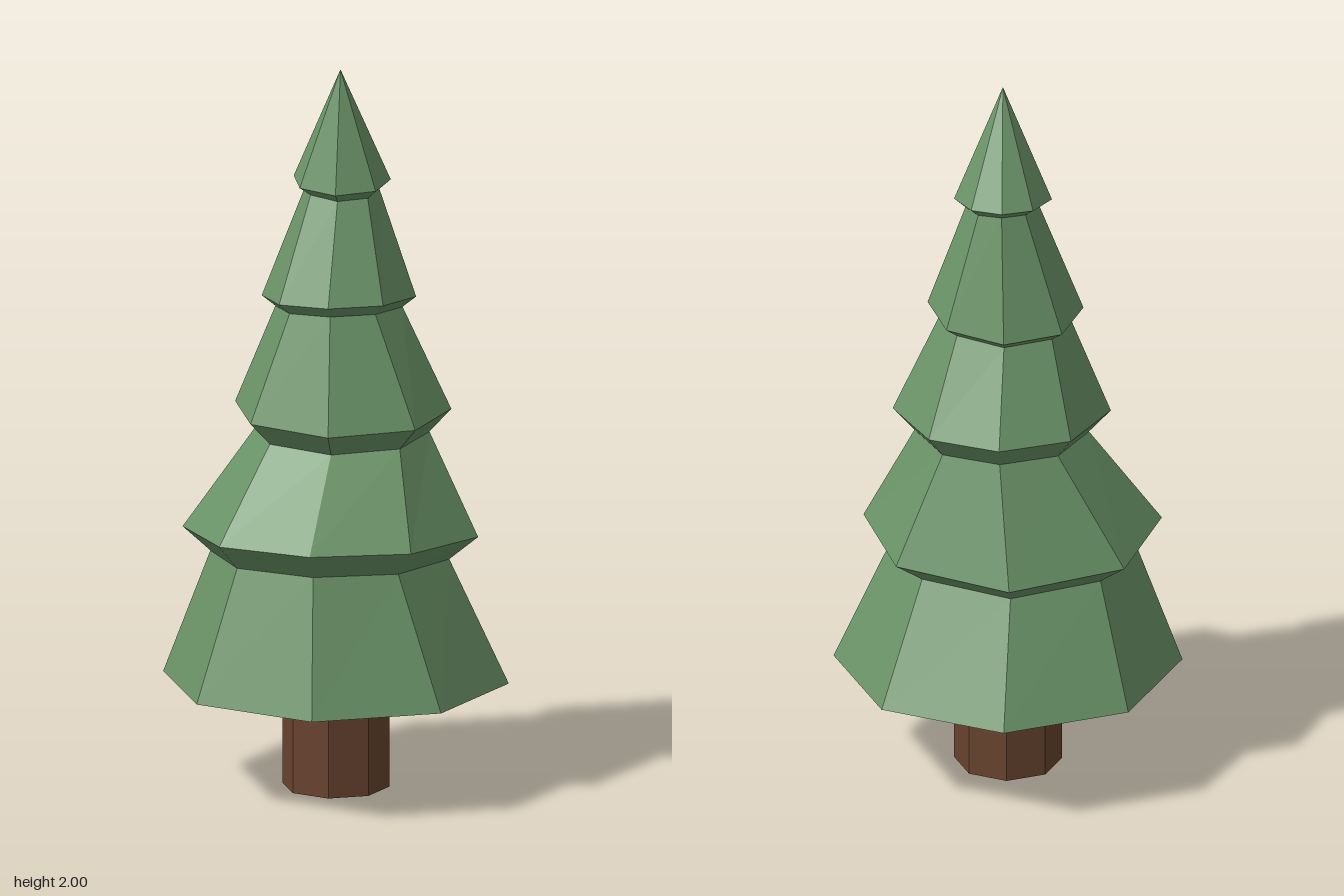
import * as THREE from 'three';

const SIDES = 8;

// Foliage rings from the bottom up: height, radius, centre x/z, slope along x/z,
// and a sideways shift of the four corners on the axes.
const RINGS = [
  { y: 0.3, r: 0.47 },
  { y: 0.645, r: 0.325, cz: 0.02, sx: 0.05, sz: 0.05, shift: 0.015 },
  { y: 0.71, r: 0.402, cz: 0.017, sx: 0.062, sz: 0.062, shift: 0.033 },
  { y: 0.988, r: 0.235, cz: -0.023, sx: -0.035, sz: -0.035, shift: -0.015 },
  { y: 1.053, r: 0.294, cz: -0.023, sx: -0.035, sz: -0.035, shift: -0.023 },
  { y: 1.333, r: 0.173, cx: -0.006, cz: -0.015, sx: 0.085, sz: 0.045, shift: 0.008 },
  { y: 1.362, r: 0.21, cx: -0.006, cz: -0.015, sx: 0.085, sz: 0.045, shift: 0.01 },
  { y: 1.658, r: 0.1, cx: -0.007, cz: -0.027, sx: -0.12, sz: -0.09, shift: -0.01 },
  { y: 1.683, r: 0.132, cx: -0.009, cz: -0.027, sx: -0.09, sz: -0.085, shift: -0.014 },
];

function ringPoints({ y, r, cx = 0, cz = 0, sx = 0, sz = 0, shift = 0 }) {
  return Array.from({ length: SIDES }, (_, i) => {
    const a = (i / SIDES) * Math.PI * 2;
    const s = Math.sin(a), c = Math.cos(a);
    const x = cx + r * s + shift * c ** 4;
    const z = cz + r * c + shift * s ** 4;
    return [x, y + sx * x + sz * z, z];
  });
}

function foliageGeometry() {
  const rings = RINGS.map(ringPoints);
  const apex = [0.02, 2, 0];
  const base = [0, RINGS[0].y, 0];
  const pos = [];
  const tri = (a, b, c) => pos.push(...a, ...b, ...c);
  for (let i = 0; i < SIDES; i++) {
    const j = (i + 1) % SIDES;
    // flat underside
    tri(base, rings[0][j], rings[0][i]);
    // sloping tiers and the overhangs between them
    for (let k = 0; k < rings.length - 1; k++) {
      const lo = rings[k], hi = rings[k + 1];
      tri(lo[i], lo[j], hi[j]);
      tri(lo[i], hi[j], hi[i]);
    }
    // pointed top
    const top = rings[rings.length - 1];
    tri(top[i], top[j], apex);
  }
  const geometry = new THREE.BufferGeometry();
  geometry.setAttribute('position', new THREE.Float32BufferAttribute(pos, 3));
  geometry.computeVertexNormals();
  return geometry;
}

export function createModel() {
  const tree = new THREE.Group();
  tree.name = 'pineTree';

  const foliage = new THREE.Mesh(
    foliageGeometry(),
    new THREE.MeshStandardMaterial({ color: 0x6b9468, flatShading: true })
  );
  foliage.name = 'foliage';

  // Trunk, tucked slightly into the foliage
  const trunk = new THREE.Mesh(
    new THREE.CylinderGeometry(0.145, 0.145, 0.31, SIDES),
    new THREE.MeshStandardMaterial({ color: 0x68432f, flatShading: true })
  );
  trunk.name = 'trunk';
  trunk.position.y = 0.155;

  tree.add(foliage, trunk);
  return tree;
}
